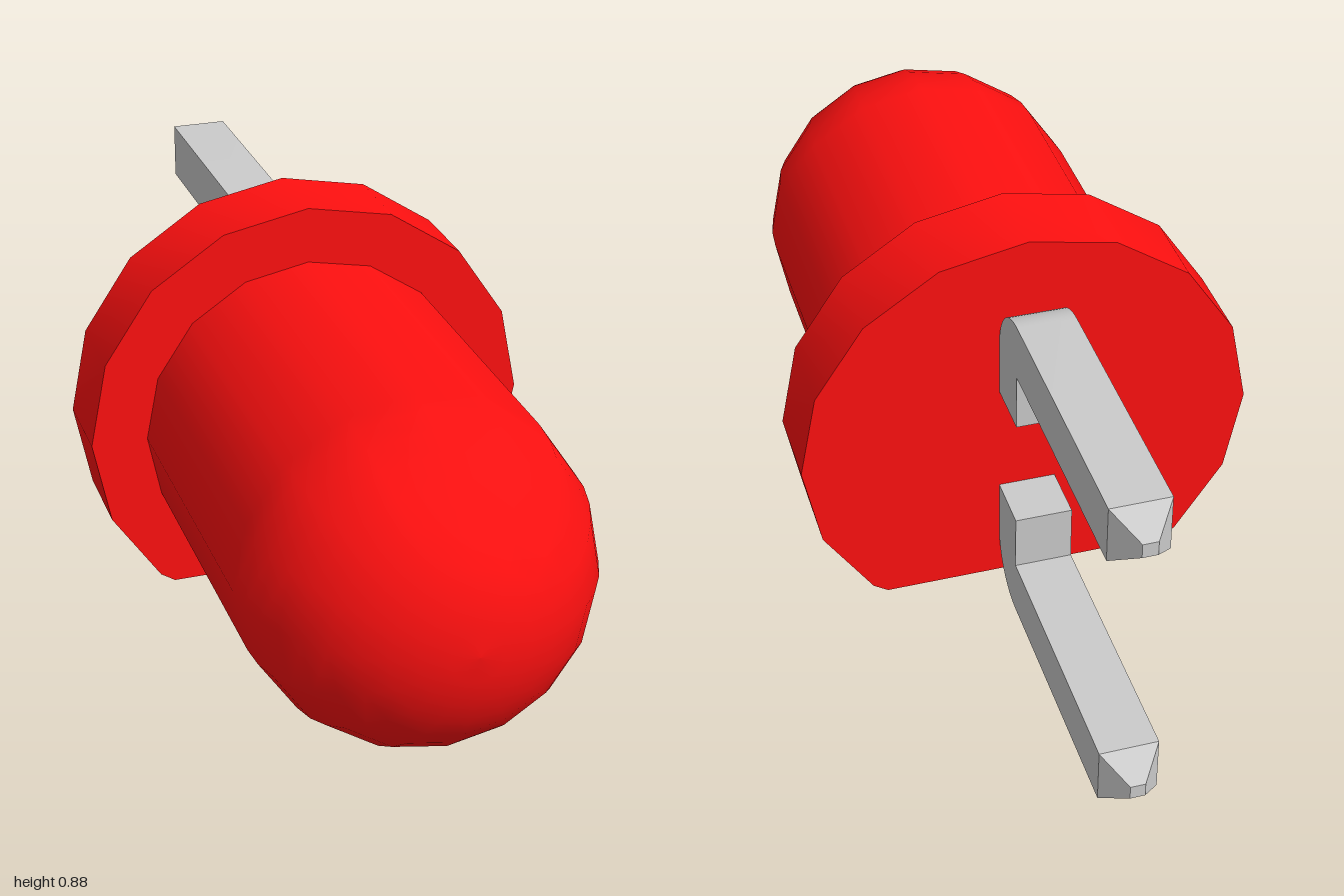
import * as THREE from 'three';
import { toCreasedNormals } from 'three/addons/utils/BufferGeometryUtils.js';

const CENTRE_Y = 0.382;
const SIDES = 16;

const red = new THREE.MeshStandardMaterial({ color: 0xff1010 });
const grey = new THREE.MeshStandardMaterial({ color: 0xcccccc });

function mesh(name, geometry, material) {
  const m = new THREE.Mesh(geometry, material);
  m.name = name;
  return m;
}

// Round lens: straight barrel ending in a hemisphere, along +z
function lens() {
  const r = 0.373, domeStart = 0.627, steps = 10;
  const profile = [new THREE.Vector2(r, -0.06)];
  for (let i = 0; i <= steps; i++) {
    const a = (i / steps) * Math.PI / 2;
    profile.push(new THREE.Vector2(i === steps ? 0 : r * Math.cos(a), domeStart + r * Math.sin(a)));
  }
  const geometry = new THREE.LatheGeometry(profile, SIDES);
  geometry.rotateX(Math.PI / 2);
  return mesh('lens', geometry, red);
}

// Sixteen-sided rim with a flat cut across the bottom
function rim() {
  const r = 0.498, cut = -0.373, back = -0.235, front = -0.045;
  const points = [];
  for (let i = 0; i < SIDES; i++) {
    const a = -Math.PI / 2 + (i * Math.PI * 2) / SIDES;
    const p = new THREE.Vector2(r * Math.cos(a), r * Math.sin(a));
    if (p.y > cut) points.push(p);
  }
  points.push(new THREE.Vector2(-0.32, cut), new THREE.Vector2(0.32, cut));
  const geometry = new THREE.ExtrudeGeometry(new THREE.Shape(points), {
    depth: front - back, bevelEnabled: false,
  });
  geometry.translate(0, 0, back);
  return mesh('rim', toCreasedNormals(geometry, 0.5), red);
}

// Bent square lead with a tapered tip; drawn in profile with x pointing backwards
function lead(name) {
  const w = 0.126, near = 0.235, far = 0.94, top = 0.382, inner = 0.128;
  const s = new THREE.Shape();
  s.moveTo(near, inner);
  s.lineTo(near + w, inner);
  s.lineTo(near + w, top - w);
  s.lineTo(far, top - w);
  s.lineTo(far, top);
  s.lineTo(near + w, top);
  s.absarc(near + w, top - w, w, Math.PI / 2, Math.PI, false);
  s.closePath();
  const bar = new THREE.ExtrudeGeometry(s, { depth: w, bevelEnabled: false, curveSegments: 8 });
  bar.translate(0, 0, -w / 2);
  bar.rotateY(Math.PI / 2);

  const tip = new THREE.CylinderGeometry(0.016 * Math.SQRT2, (w / 2) * Math.SQRT2, 0.06, 4);
  tip.rotateY(Math.PI / 4);
  tip.rotateX(-Math.PI / 2);
  tip.translate(0, top - w / 2, -far - 0.03);

  const group = new THREE.Group();
  group.name = name;
  group.add(
    mesh('leadBar', toCreasedNormals(bar, 0.5), grey),
    mesh('leadTip', toCreasedNormals(tip, 0.3), grey),
  );
  return group;
}

export function createModel() {
  const model = new THREE.Group();
  model.name = 'indicatorLight';
  const upper = lead('upperLead');
  const lower = lead('lowerLead');
  lower.rotation.z = Math.PI;
  const parts = [lens(), rim(), upper, lower];
  for (const part of parts) {
    part.position.y = CENTRE_Y;
    model.add(part);
  }
  return model;
}
